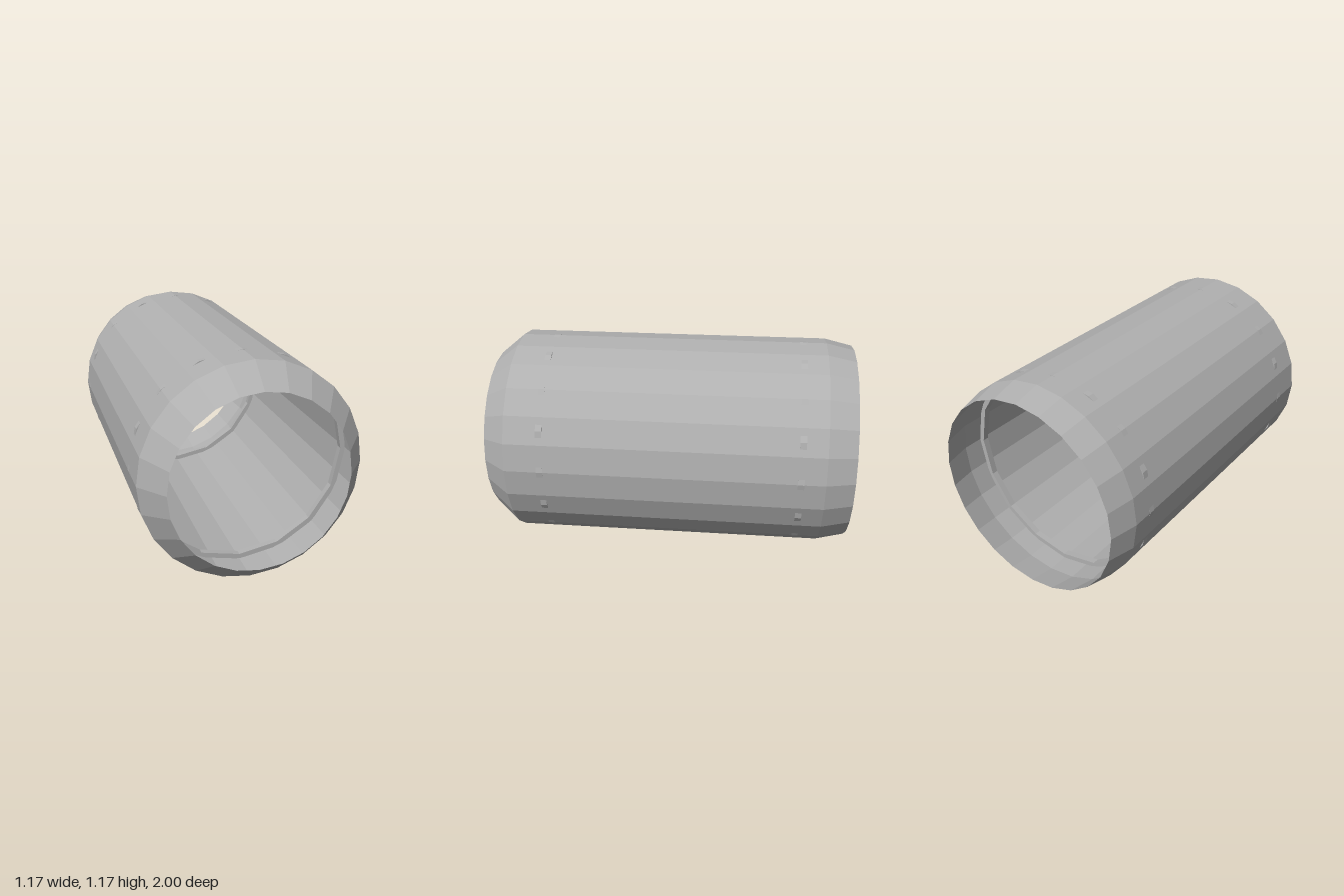
import * as THREE from 'three';

const CENTER_Y = 0.586;

export function createModel() {
  const group = new THREE.Group();
  group.name = 'openTube';

  const greyMetal = new THREE.MeshStandardMaterial({ color: 0xb0b0b0, flatShading: true, side: THREE.DoubleSide });
  greyMetal.name = 'grey metal';

  // Turns a [radius, z] profile around the tube's axis, which runs along z
  function turned(name, profile, sides) {
    const points = profile.map(([r, z]) => new THREE.Vector2(r, z));
    const geometry = new THREE.LatheGeometry(points, sides);
    geometry.rotateX(Math.PI / 2);
    const mesh = new THREE.Mesh(geometry, greyMetal);
    mesh.name = name;
    mesh.position.y = CENTER_Y;
    group.add(mesh);
  }

  // Thin shell, open at both ends: slight taper at the back, strong one at the front
  turned('shell', [[0.545, -1], [0.581, -0.846], [0.581, 0.86], [0.465, 1]], 24);

  // Coarser square-section hoops inside, whose corners just pierce the shell
  const hoop = (name, z, w = 0.017, outer = 0.583, inner = 0.555) =>
    turned(name, [[outer, z - w], [outer, z + w], [inner, z + w], [inner, z - w], [outer, z - w]], 16);
  hoop('frontHoop', 0.667);
  hoop('backHoop', -0.717);

  return group;
}
